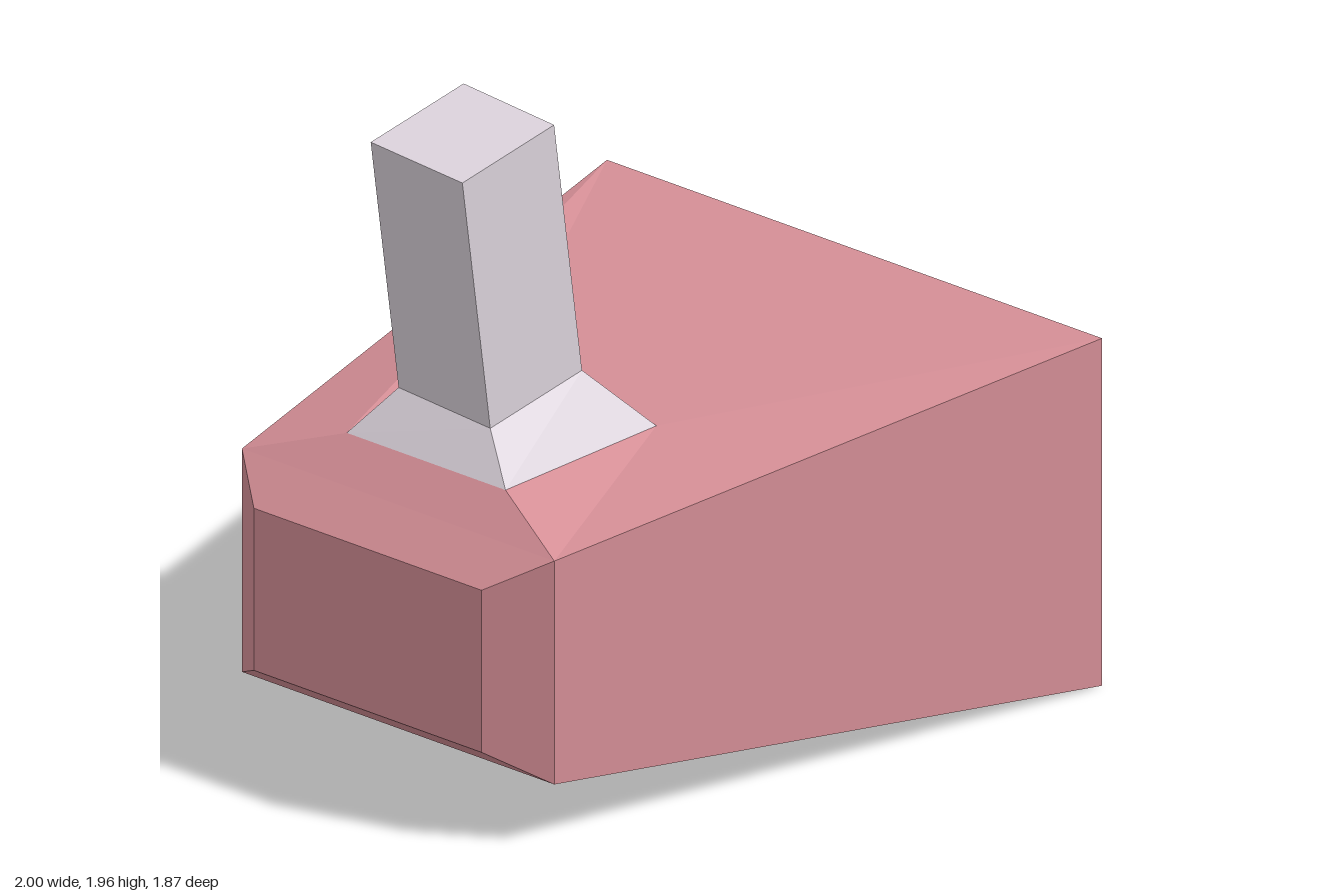
import * as THREE from 'three';

const pink = new THREE.MeshStandardMaterial({ color: 0xd68f97 });
pink.name = 'dusty pink';
const pale = new THREE.MeshStandardMaterial({ color: 0xded5de });
pale.name = 'pale lilac grey';
const navy = new THREE.MeshStandardMaterial({ color: 0x22243a });
navy.name = 'dark navy';

// Four corners across x, counter-clockwise as seen from +x
const section = (x, halfZ, y0, y1) => [[x, y0, halfZ], [x, y0, -halfZ], [x, y1, -halfZ], [x, y1, halfZ]];

// Joins successive four-corner rings with quads; skip(level, side) leaves a wall out
function loft(rings, { startCap = false, endCap = false, skip = () => false } = {}) {
  const pos = [];
  const quad = (a, b, c, d) => pos.push(...a, ...b, ...c, ...a, ...c, ...d);
  if (startCap) quad(...[...rings[0]].reverse());
  for (let k = 0; k + 1 < rings.length; k++) {
    for (let i = 0; i < 4; i++) {
      if (skip(k, i)) continue;
      const j = (i + 1) % 4;
      quad(rings[k][i], rings[k][j], rings[k + 1][j], rings[k + 1][i]);
    }
  }
  if (endCap) quad(...rings[rings.length - 1]);
  const geo = new THREE.BufferGeometry();
  geo.setAttribute('position', new THREE.Float32BufferAttribute(pos, 3));
  geo.computeVertexNormals();
  return geo;
}

export function createModel() {
  const group = new THREE.Group();
  const add = (name, geo, mat) => {
    const mesh = new THREE.Mesh(geo, mat);
    mesh.name = name;
    group.add(mesh);
  };

  // Hollow flared housing: closed end, outer walls, rim, then inner walls
  const tail = section(-1, 0.43, 0.28, 0.77);
  const shoulder = section(-0.875, 0.59, 0.19, 0.865);
  const mouth = section(1, 0.935, 0, 1.05);
  const lip = section(1, 0.86, 0.08, 0.97);
  const innerBack = section(-0.8, 0.485, 0.275, 0.78);
  add('housing', loft([tail, shoulder, mouth, lip, innerBack], {
    startCap: true,
    skip: (k, i) => k === 1 && i === 2,
  }), pink);

  // Top of the housing, rising to the foot of the handle
  const topEdge = [mouth[3], mouth[2], shoulder[2], shoulder[3]];
  const foot = [[-0.14, 0.96, 0.3], [-0.14, 0.96, -0.3], [-0.76, 0.96, -0.3], [-0.76, 0.96, 0.3]];
  add('housingTop', loft([topEdge, foot]), pink);

  // Dark panel and tapered emitter block inside the mouth
  add('innerPanel', loft([innerBack], { endCap: true }), navy);
  add('emitter', loft([section(-0.8, 0.22, 0.405, 0.645), section(0.86, 0.16, 0.435, 0.615)], { endCap: true }), pink);

  // Tilted handle on a flared foot
  const neck = [[-0.31, 1.145, 0.175], [-0.29, 1.16, -0.185], [-0.65, 1.09, -0.205], [-0.665, 1.075, 0.155]];
  const lean = [-0.145, 0.795, 0.028];
  const end = neck.map((p) => p.map((v, i) => v + lean[i]));
  add('handleFoot', loft([foot, neck]), pale);
  add('handle', loft([neck, end], { endCap: true }), pale);

  return group;
}
